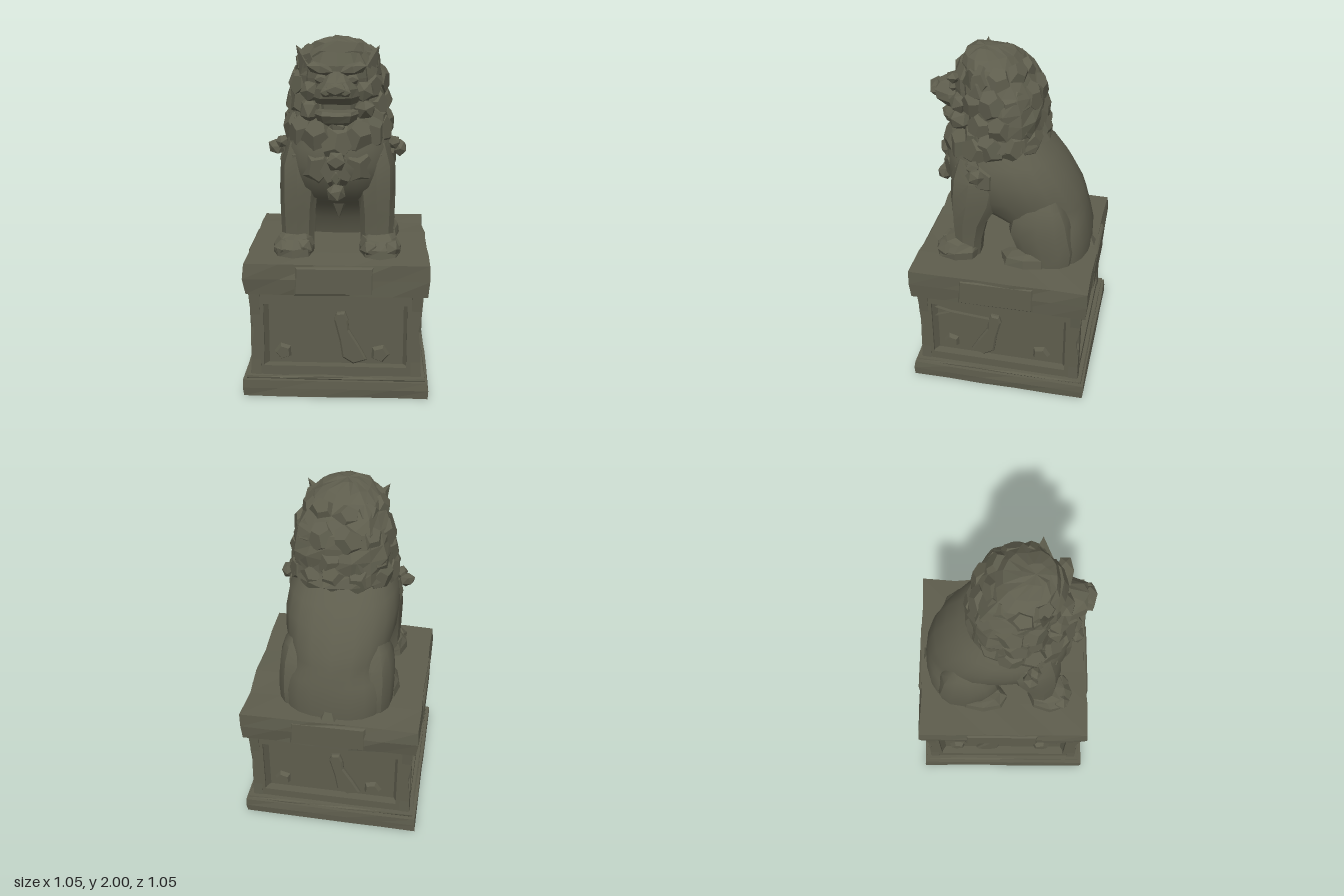
import * as THREE from 'three';
import { toCreasedNormals } from 'three/addons/utils/BufferGeometryUtils.js';

const stone = new THREE.MeshStandardMaterial({ color: 0x5e5d4d });
stone.name = 'weathered stone';

let seed = 7;
const rand = () => ((seed = (seed * 16807) % 2147483647) / 2147483647);
const noise = (x, y, z) => {
  const v = Math.sin(x * 127.1 + y * 311.7 + z * 74.7) * 43758.5453;
  return v - Math.floor(v);
};

function add(parent, name, geometry, crease = 0.01) {
  const mesh = new THREE.Mesh(toCreasedNormals(geometry, crease), stone);
  mesh.name = name;
  parent.add(mesh);
  return mesh;
}

// Stacked oval sections, each [y, zBack, zFront, halfWidth, centreX]
function loft(sections, sides = 12, rough = 0) {
  const pos = [], idx = [], n = sides, last = sections.length - 1;
  for (const [y, zb, zf, w, cx = 0] of sections) {
    for (let j = 0; j < n; j++) {
      const t = (j / n) * Math.PI * 2, s = Math.sin(t), c = Math.cos(t);
      const k = 1 + rough * (rand() - 0.5);
      pos.push(cx + w * k * Math.sign(s) * Math.abs(s) ** 0.85, y + rough * 0.15 * (rand() - 0.5),
        (zb + zf) / 2 + ((zf - zb) / 2) * k * Math.sign(c) * Math.abs(c) ** 0.85);
    }
  }
  for (let i = 0; i < last; i++) {
    for (let j = 0; j < n; j++) {
      const a = i * n + j, b = i * n + ((j + 1) % n);
      idx.push(a, b, b + n, a, b + n, a + n);
    }
  }
  for (const i of [0, last]) {
    const [y, zb, zf, , cx = 0] = sections[i], centre = pos.length / 3;
    pos.push(cx, y, (zb + zf) / 2);
    for (let j = 0; j < n; j++) {
      const a = i * n + j, b = i * n + ((j + 1) % n);
      if (i) idx.push(centre, a, b); else idx.push(centre, b, a);
    }
  }
  const g = new THREE.BufferGeometry();
  g.setAttribute('position', new THREE.Float32BufferAttribute(pos, 3));
  g.setIndex(idx);
  return g;
}

// Faceted lump of stone
function lump(parent, name, p, size, turn = true) {
  const m = add(parent, name, new THREE.IcosahedronGeometry(1, 0));
  m.position.set(...p);
  m.scale.set(...size);
  if (turn) m.rotation.set(rand() * 3, rand() * 3, rand() * 3);
  return m;
}

// Mane lock: a chunky wedge lying against the body, facing direction t around it
function lock(parent, name, p, t, size) {
  const m = add(parent, name, new THREE.DodecahedronGeometry(1, 0));
  m.position.set(...p);
  m.scale.set(size, size * 1.15, size * 0.7);
  m.rotation.set((rand() - 0.5) * 0.5, t + (rand() - 0.5) * 0.5, (rand() - 0.5) * 1.2, 'YXZ');
}

// Slab whose edges are worn inward unevenly
function slab(parent, name, w, y0, y1, wear) {
  const h = y1 - y0, g = new THREE.BoxGeometry(w, h, w, 5, 2, 5), p = g.attributes.position;
  for (let i = 0; i < p.count; i++) {
    const x = p.getX(i), y = p.getY(i), z = p.getZ(i);
    const ex = Math.abs(x) > w / 2 - 0.001, ez = Math.abs(z) > w / 2 - 0.001, ey = Math.abs(y) > h / 2 - 0.001;
    if (!ex && !ez) continue;
    const d = wear * noise(x, y, z) * (ey ? 1 : 0.3);
    p.setXYZ(i, x - (ex ? Math.sign(x) * d : 0), y - (y > 0 && ey ? d * 0.5 : 0), z - (ez ? Math.sign(z) * d : 0));
  }
  add(parent, name, g).position.y = (y0 + y1) / 2;
}

const polygon = (pts, flip = 1) => new THREE.Shape(pts.map(([x, y]) => new THREE.Vector2(x * flip, y)));
const relief = (shape, depth) => new THREE.ExtrudeGeometry(shape,
  { depth, bevelEnabled: true, bevelThickness: 0.01, bevelSize: 0.01, bevelSegments: 1 });
const plate = (shape, depth) => new THREE.ExtrudeGeometry(shape, { depth, bevelEnabled: false });

function buildPedestal() {
  const g = new THREE.Group();
  g.name = 'pedestal';
  slab(g, 'baseSlab', 1.055, 0, 0.1, 0.01);
  slab(g, 'baseStep', 1.02, 0.09, 0.12, 0.02);
  slab(g, 'capSlab', 1.04, 0.61, 0.795, 0.022);
  const core = add(g, 'pedestalCore', new THREE.BoxGeometry(0.86, 0.52, 0.86));
  core.position.y = 0.37;
  for (let i = 0; i < 4; i++) {
    const side = new THREE.Group(), flip = i % 2 ? -1 : 1;
    side.name = 'pedestalSide';
    side.rotation.y = (i * Math.PI) / 2;
    // Worn frame around a sunken panel
    const frame = polygon([[-0.485, 0.11], [0.485, 0.11], [0.475, 0.3], [0.465, 0.4], [0.48, 0.48], [0.49, 0.62],
      [-0.49, 0.62], [-0.475, 0.46], [-0.46, 0.38], [-0.475, 0.3]]);
    frame.holes.push(new THREE.Path([[-0.405, 0.17], [-0.405, 0.545], [0.4, 0.545], [0.4, 0.17]]
      .map((q) => new THREE.Vector2(...q))));
    add(side, 'panelFrame', plate(frame, 0.055)).position.z = 0.425;
    // Sloping cheeks inside the panel opening
    for (const s of [-1, 1]) {
      const cheek = add(side, 'panelCheek', plate(polygon([[0.41, 0.42], [0.41, 0.475], [0.375, 0.42]], s), 0.37));
      cheek.rotation.x = Math.PI / 2;
      cheek.position.y = 0.543;
    }
    // Carved relief
    const curl = polygon([[0, 0.44], [0.01, 0.475], [0.045, 0.48], [0.06, 0.44], [0.065, 0.38], [0.125, 0.28],
      [0.165, 0.205], [0.1, 0.185], [0.045, 0.22], [0.03, 0.32]], flip);
    add(side, 'carvedCurl', relief(curl, 0.02)).position.z = 0.425;
    for (const [x, y, r] of [[-0.3, 0.24, 0.048], [0.25, 0.235, 0.052]]) {
      const pebble = add(side, 'carvedPebble', new THREE.CylinderGeometry(r * 0.8, r * 1.15, 0.03, 5));
      pebble.rotation.set(Math.PI / 2, x, 0);
      pebble.position.set(x, y, 0.44);
    }
    if (i % 2) {
      const wisp = polygon([[-0.4, 0.5], [-0.3, 0.475], [-0.06, 0.455], [-0.06, 0.435], [-0.28, 0.455], [-0.4, 0.43],
        [-0.3, 0.47]]);
      add(side, 'carvedWisp', plate(wisp, 0.025)).position.z = 0.425;
    }
    // Overhanging block on the cap
    const block = add(side, 'capBlock', relief(polygon([[-0.22, 0.62], [0.2, 0.625], [0.2, 0.77], [-0.21, 0.765]]), 0.03));
    block.position.z = 0.48;
    g.add(side);
  }
  return g;
}

function buildBody() {
  const g = new THREE.Group();
  g.name = 'body';
  add(g, 'torso', loft([[0.78, -0.47, -0.08, 0.29], [0.9, -0.47, -0.05, 0.3], [1.0, -0.45, 0.03, 0.29],
    [1.05, -0.44, 0.16, 0.28], [1.11, -0.425, 0.29, 0.29], [1.18, -0.4, 0.36, 0.315], [1.3, -0.33, 0.39, 0.325],
    [1.4, -0.25, 0.38, 0.31], [1.5, -0.14, 0.35, 0.26]], 20), 0.7);
  const tuft = add(g, 'bellyTuft', new THREE.ConeGeometry(0.07, 0.14, 5));
  tuft.position.set(0, 1.0, 0.07);
  tuft.rotation.x = Math.PI;
  const tail = add(g, 'tail', new THREE.ConeGeometry(0.07, 0.12, 5));
  tail.position.set(0.01, 0.84, -0.44);
  for (const s of [-1, 1]) {
    add(g, 'frontLeg', loft([[0.79, 0.15, 0.31, 0.095, s * 0.225], [0.9, 0.14, 0.31, 0.095, s * 0.225],
      [1.02, 0.11, 0.32, 0.1, s * 0.225], [1.16, 0.03, 0.33, 0.11, s * 0.22], [1.3, 0, 0.32, 0.105, s * 0.22],
      [1.42, 0.06, 0.28, 0.06, s * 0.22]], 9), 0.5);
    add(g, 'frontPaw', loft([[0.785, 0.15, 0.415, 0.115, s * 0.245], [0.84, 0.15, 0.415, 0.115, s * 0.245],
      [0.885, 0.16, 0.37, 0.095, s * 0.24], [0.91, 0.16, 0.3, 0.07, s * 0.235]], 8, 0.1));
    for (const dx of [-0.055, 0.055]) lump(g, 'frontToe', [s * 0.245 + dx, 0.835, 0.345], [0.06, 0.055, 0.06]);
    add(g, 'haunch', loft([[0.785, -0.39, -0.08, 0.115, s * 0.215], [0.88, -0.4, -0.05, 0.12, s * 0.215],
      [0.98, -0.38, -0.01, 0.12, s * 0.215], [1.07, -0.36, -0.03, 0.11, s * 0.215], [1.15, -0.32, -0.08, 0.09, s * 0.21],
      [1.23, -0.27, -0.14, 0.05, s * 0.2]], 12), 0.6);
    add(g, 'hindPaw', loft([[0.785, -0.26, 0.02, 0.085, s * 0.275], [0.84, -0.26, 0.02, 0.08, s * 0.275],
      [0.88, -0.24, -0.02, 0.06, s * 0.27]], 8, 0.1));
    // Tassels hanging at the shoulders
    lump(g, 'shoulderTassel', [s * 0.35, 1.375, 0.15], [0.05, 0.055, 0.04]);
    lump(g, 'tasselKnot', [s * 0.315, 1.41, 0.17], [0.04, 0.04, 0.04]);
  }
  // Curly ruff across the chest
  for (let i = -3; i <= 3; i++) {
    const a = i * 0.42;
    lock(g, 'ruffLock', [Math.sin(a) * 0.25, 1.44 + Math.abs(i) * 0.012, 0.07 + Math.cos(a) * 0.27], a, 0.1);
    lock(g, 'lowerRuffLock', [Math.sin(a) * 0.275, 1.29 + Math.abs(i) * 0.012, 0.04 + Math.cos(a) * 0.305], a, 0.1);
  }
  lump(g, 'bell', [0, 1.345, 0.4], [0.058, 0.058, 0.045], false);
  lump(g, 'bellCord', [0, 1.25, 0.39], [0.03, 0.06, 0.03], false);
  lump(g, 'pendant', [0, 1.175, 0.42], [0.05, 0.055, 0.055]);
  return g;
}

function buildHead() {
  const g = new THREE.Group();
  g.name = 'head';
  add(g, 'mane', loft([[1.44, -0.12, 0.32, 0.22], [1.5, -0.205, 0.3, 0.29], [1.57, -0.19, 0.27, 0.28],
    [1.65, -0.185, 0.26, 0.28], [1.72, -0.175, 0.26, 0.265], [1.79, -0.15, 0.27, 0.255], [1.86, -0.1, 0.28, 0.225],
    [1.92, -0.05, 0.28, 0.185], [1.97, 0.0, 0.27, 0.14], [1.993, 0.09, 0.23, 0.06]], 15, 0.13));
  // Staggered rings of mane locks, leaving the face open
  [[1.52, 0.26, -0.155, 0.27, 9], [1.63, 0.245, -0.14, 0.25, 8], [1.74, 0.23, -0.125, 0.26, 8],
    [1.85, 0.185, -0.05, 0.25, 7]].forEach(([y, w, zb, zf, n], ring) => {
    for (let i = 0; i < n; i++) {
      const t = 0.95 + ((i + (ring % 2) * 0.3) / (n - 0.7)) * (2 * Math.PI - 1.9);
      lock(g, 'maneLock', [Math.sin(t) * w, y + (rand() - 0.5) * 0.04, (zb + zf) / 2 + Math.cos(t) * (zf - zb) / 2],
        t, 0.085);
    }
  });
  add(g, 'forehead', loft([[1.68, 0.05, 0.32, 0.18], [1.78, 0.05, 0.33, 0.18], [1.85, 0.05, 0.33, 0.17],
    [1.92, 0.06, 0.3, 0.13]], 12, 0.04));
  add(g, 'muzzle', loft([[1.65, 0.1, 0.39, 0.12], [1.69, 0.1, 0.455, 0.13], [1.735, 0.1, 0.465, 0.115],
    [1.775, 0.1, 0.44, 0.08], [1.82, 0.1, 0.34, 0.05]], 10, 0.04));
  lump(g, 'nose', [0, 1.738, 0.445], [0.065, 0.04, 0.045], false);
  add(g, 'mouth', loft([[1.58, 0.1, 0.3, 0.11], [1.68, 0.1, 0.3, 0.12]], 10));
  add(g, 'jaw', loft([[1.525, 0.15, 0.34, 0.08], [1.55, 0.1, 0.4, 0.11], [1.59, 0.1, 0.42, 0.125],
    [1.61, 0.1, 0.4, 0.12]], 10, 0.04));
  lump(g, 'beard', [0, 1.5, 0.31], [0.09, 0.06, 0.07]);
  for (const s of [-1, 1]) {
    lump(g, 'brow', [s * 0.09, 1.835, 0.315], [0.085, 0.035, 0.05], false).rotation.z = s * 0.25;
    lump(g, 'eye', [s * 0.085, 1.78, 0.325], [0.04, 0.028, 0.03], false);
    lump(g, 'cheek', [s * 0.145, 1.71, 0.28], [0.065, 0.06, 0.06]);
    lump(g, 'nostril', [s * 0.05, 1.725, 0.44], [0.035, 0.028, 0.035], false);
    lump(g, 'jowl', [s * 0.15, 1.61, 0.27], [0.06, 0.08, 0.06]);
    const ear = add(g, 'ear', new THREE.ConeGeometry(0.055, 0.13, 4));
    ear.position.set(s * 0.195, 1.895, 0.2);
    ear.rotation.z = -s * 0.55;
  }
  return g;
}

export function createModel() {
  seed = 7;
  const model = new THREE.Group();
  model.name = 'guardianLionStatue';
  model.add(buildPedestal(), buildBody(), buildHead());
  return model;
}
